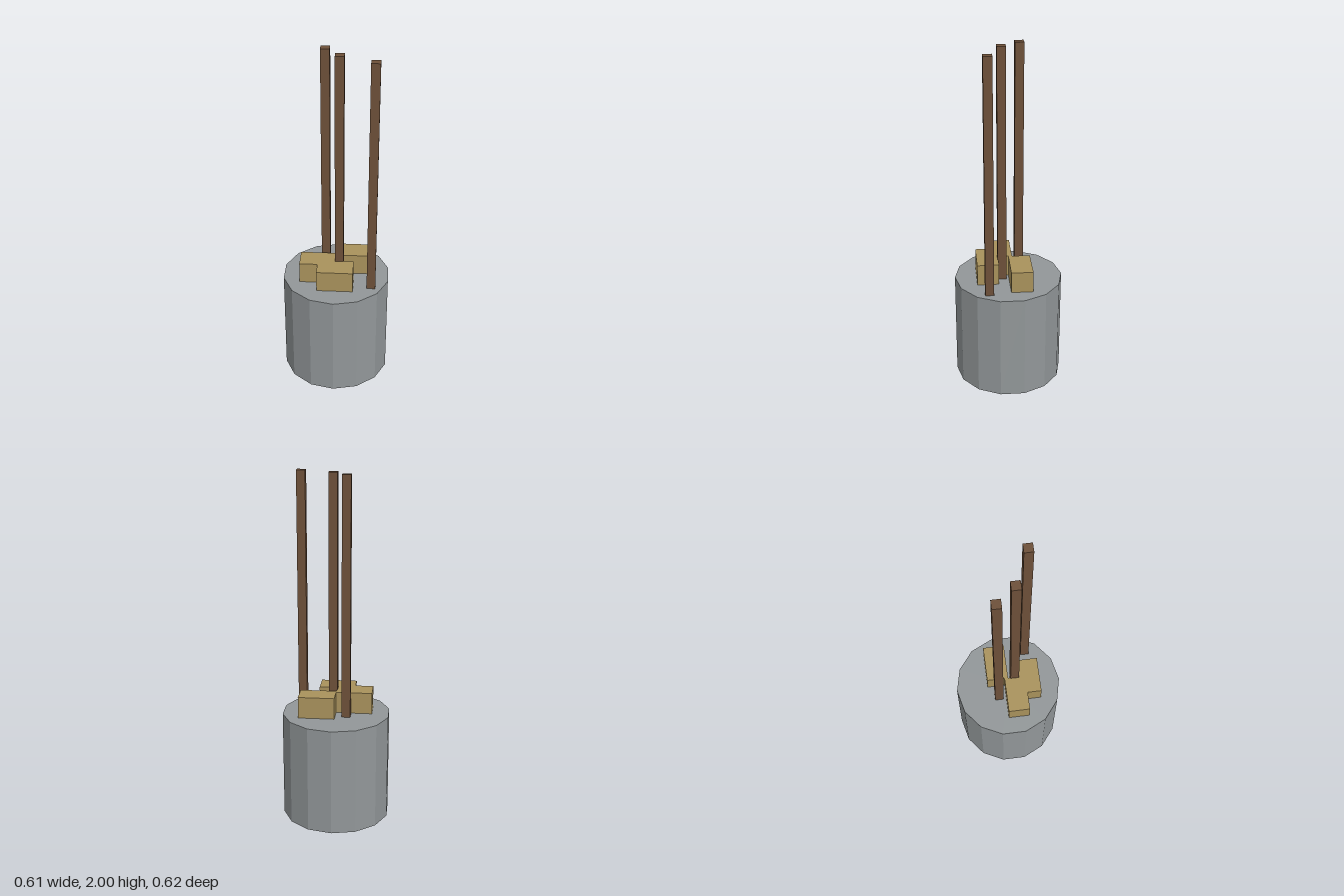
import * as THREE from 'three';

export function createModel() {
  const model = new THREE.Group();
  model.name = 'cylinderWithBlocksAndPoles';

  const makeMaterial = (name, color) => {
    const m = new THREE.MeshStandardMaterial({ color, flatShading: true });
    m.name = name;
    return m;
  };
  const stone = makeMaterial('stoneGrey', 0x929799);
  stone.side = THREE.DoubleSide; // thin open shell
  const straw = makeMaterial('strawTan', 0xa9925c);
  const wood = makeMaterial('darkWood', 0x6d5039);

  const add = (name, geometry, material, x, y, z) => {
    const mesh = new THREE.Mesh(geometry, material);
    mesh.name = name;
    mesh.position.set(x, y, z);
    model.add(mesh);
  };

  // Fourteen-sided drum: closed on top, open underneath
  const sides = 14, radius = 0.3125, height = 0.625;
  add('drumWall', new THREE.CylinderGeometry(radius, radius, height, sides, 1, true), stone, 0, height / 2, 0);
  const lid = new THREE.CircleGeometry(radius, sides, Math.PI / 2).rotateX(-Math.PI / 2);
  add('drumLid', lid, stone, 0, height, 0);

  // Blocks sunk through the lid
  const block = new THREE.BoxGeometry(0.208, 0.5, 0.125);
  [[0.104, -0.063], [-0.104, 0.041], [0, 0.124]].forEach(([x, z], i) =>
    add(`block${i + 1}`, block, straw, x, 0.5, z));

  // Tall square poles rising from the drum
  const pole = new THREE.BoxGeometry(0.05, 1.5, 0.05);
  [[-0.063, -0.064], [0.02, 0.04], [0.208, 0.124]].forEach(([x, z], i) =>
    add(`pole${i + 1}`, pole, wood, x, 1.25, z));

  return model;
}
